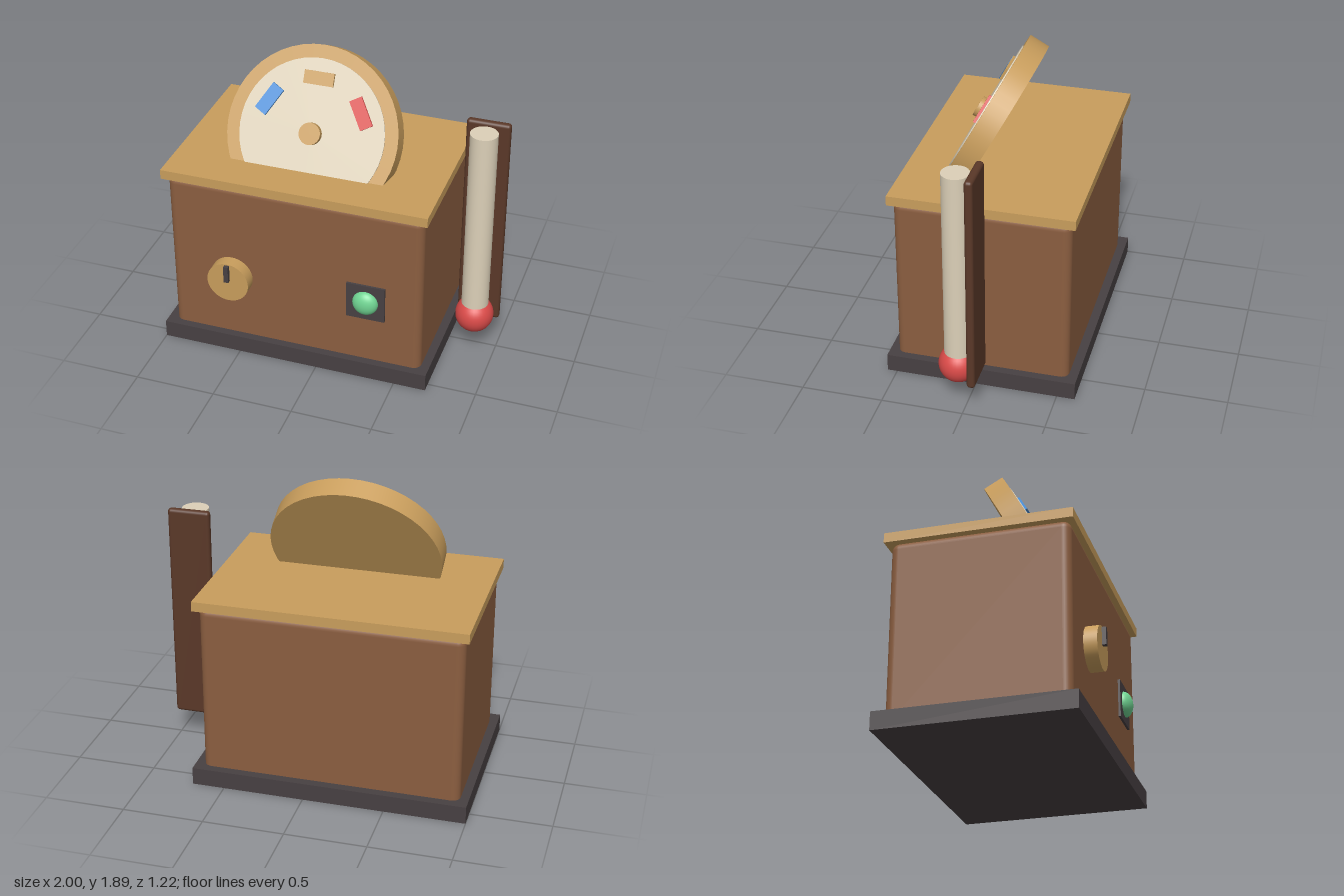
import * as THREE from 'three';
import { RoundedBoxGeometry } from 'three/addons/geometries/RoundedBoxGeometry.js';

const mat = (name, color) => {
  const m = new THREE.MeshStandardMaterial({ color });
  m.name = name;
  return m;
};

export function createModel() {
  const model = new THREE.Group();
  model.name = 'machine';
  const wood = mat('brown wood', 0x8b5e40);
  const darkWood = mat('dark wood', 0x5a3828);
  const brass = mat('brass', 0xc89d5c);
  const cream = mat('cream', 0xdcd0b8);
  const charcoal = mat('charcoal', 0x474042);
  const red = mat('red', 0xd94a48);
  const blue = mat('blue', 0x4a90d9);
  const green = mat('green', 0x70d492);

  const add = (parent, name, geometry, material, x, y, z) => {
    const mesh = new THREE.Mesh(geometry, material);
    mesh.name = name;
    mesh.position.set(x, y, z);
    parent.add(mesh);
    return mesh;
  };
  const box = (w, h, d) => new THREE.BoxGeometry(w, h, d);
  // Disc whose axis points along z
  const disc = (r, depth) => new THREE.CylinderGeometry(r, r, depth, 48).rotateX(Math.PI / 2);

  // Cabinet
  add(model, 'base', box(1.7, 0.11, 1.17), charcoal, -0.15, 0.055, -0.025);
  add(model, 'cabinet', new RoundedBoxGeometry(1.595, 1.15, 1.065, 4, 0.05), wood, -0.15, 0.595, -0.0225);
  add(model, 'lid', box(1.65, 0.06, 1.12), brass, -0.15, 1.19, -0.025);

  // Tilted dial, origin at the centre of its front face, lower part sunk in the cabinet
  const dial = new THREE.Group();
  dial.name = 'dial';
  dial.position.set(-0.15, 1.42, 0.169);
  dial.rotation.x = -0.5;
  model.add(dial);
  add(dial, 'dialRim', disc(0.53, 0.13), brass, 0, 0, -0.065);
  add(dial, 'dialFace', disc(0.45, 0.01), cream, 0, 0, 0.002);
  add(dial, 'dialHub', disc(0.066, 0.045), brass, 0, 0, 0.0225);
  [[Math.PI / 3, blue], [0, brass], [-Math.PI / 3, red]].forEach(([a, material]) => {
    const marker = add(dial, 'dialMarker', box(0.185, 0.08, 0.02), material,
      -0.33 * Math.sin(a), 0.33 * Math.cos(a), 0.013);
    marker.rotation.z = a;
  });

  // Front knob and its pointer
  add(model, 'knob', disc(0.132, 0.09), brass, -0.55, 0.535, 0.545);
  add(model, 'knobPointer', box(0.03, 0.11, 0.03), charcoal, -0.55, 0.605, 0.6);

  // Domed push button on a square plate
  add(model, 'buttonPlate', box(0.24, 0.24, 0.03), charcoal, 0.305, 0.538, 0.509);
  const button = add(model, 'button', new THREE.SphereGeometry(0.08, 32, 20), green, 0.305, 0.538, 0.522);
  button.scale.z = 0.66;

  // Thermometer beside the cabinet
  add(model, 'thermometerBoard', new RoundedBoxGeometry(0.265, 1.385, 0.05, 3, 0.02), darkWood, 0.8675, 0.8825, -0.05);
  add(model, 'thermometerTube', new THREE.CylinderGeometry(0.083, 0.083, 1.28, 32), cream, 0.865, 0.91, 0.0575);
  add(model, 'thermometerBulb', new THREE.SphereGeometry(0.118, 32, 24), red, 0.865, 0.268, 0.0575);

  return model;
}
